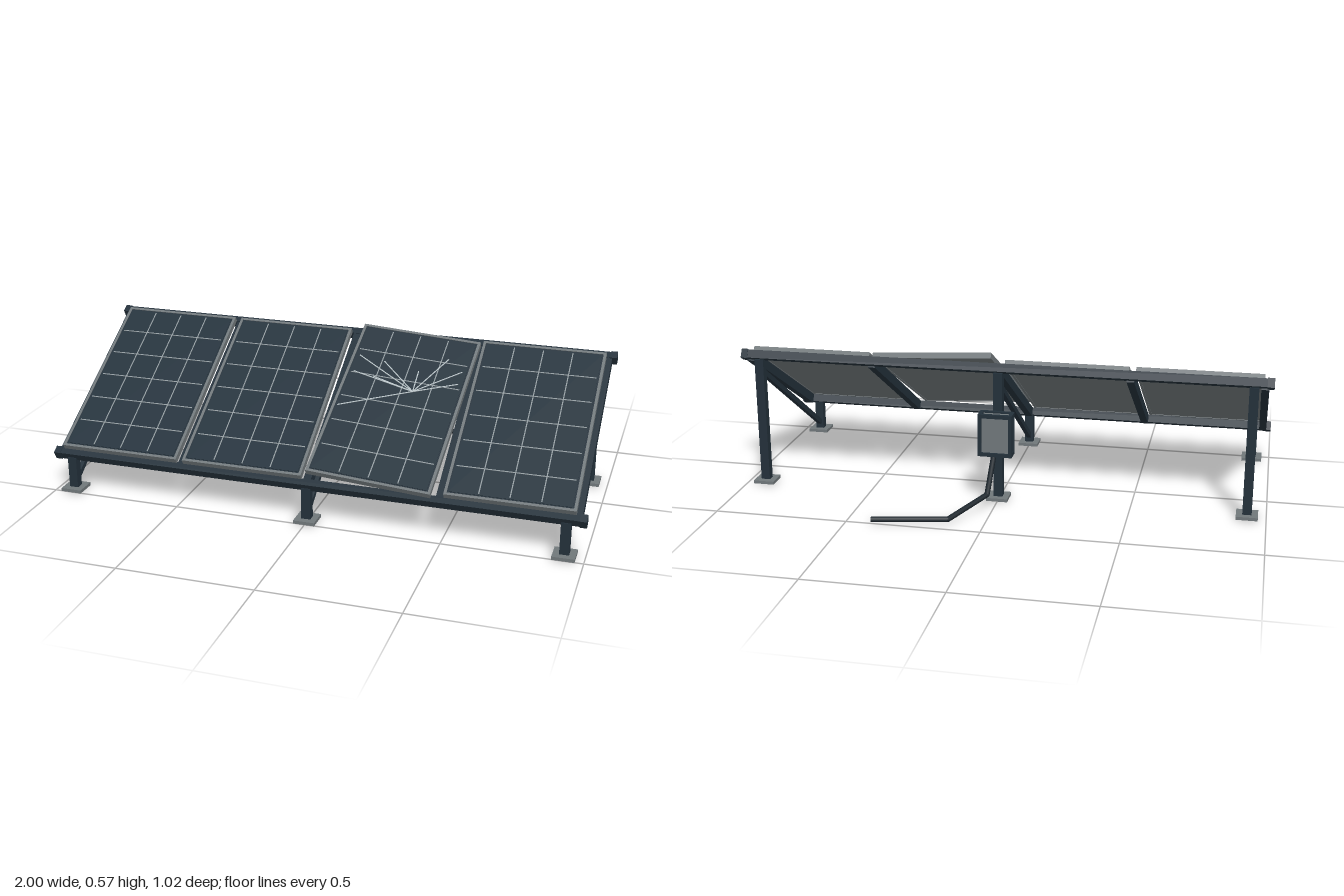
import * as THREE from 'three';

const paint = (name, hex) => {
  const m = new THREE.MeshStandardMaterial({ color: hex });
  m.name = name;
  return m;
};

export function createModel() {
  const steel = paint('dark steel', 0x23303a);
  const glass = paint('solar cells', 0x24323c);
  const alloy = paint('grey alloy', 0x70777a);
  const lines = paint('cell lines', 0x8f989c);
  const crackWhite = paint('crack lines', 0xb4bec2);
  const cable = paint('cable', 0x1d262d);

  const model = new THREE.Group();
  model.name = 'solarArray';

  const box = (parent, name, mat, size, pos) => {
    const m = new THREE.Mesh(new THREE.BoxGeometry(...size), mat);
    m.name = name;
    m.position.set(...pos);
    parent.add(m);
    return m;
  };

  // Square or round bar between two points
  const bar = (parent, name, mat, a, b, r, sides = 8) => {
    const p = new THREE.Vector3(...a), q = new THREE.Vector3(...b);
    const d = q.clone().sub(p);
    const m = new THREE.Mesh(new THREE.CylinderGeometry(r, r, d.length(), sides), mat);
    m.name = name;
    m.position.copy(p).add(q).multiplyScalar(0.5);
    m.quaternion.setFromUnitVectors(new THREE.Vector3(0, 1, 0), d.normalize());
    parent.add(m);
  };

  // Tilted frame: local z runs down the slope, local y is the panel normal
  const tilt = new THREE.Group();
  tilt.name = 'tiltedFrame';
  tilt.position.set(0, 0.33, 0.15);
  tilt.rotation.x = Math.PI / 6;
  model.add(tilt);

  for (const z of [-0.37, 0.37]) {
    box(tilt, 'crossRail', steel, [1.96, 0.032, 0.028], [0, 0, z]);
    for (const s of [-1, 1]) box(tilt, 'railCap', steel, [0.025, 0.036, 0.032], [s * 0.9875, 0, z]);
  }
  for (const x of [-0.968, -0.4875, 0, 0.4875, 0.968])
    box(tilt, 'slopeBeam', steel, [0.028, 0.036, 0.72], [x, -0.004, 0]);

  // Panels: alloy tray, cell sheet, four by six grid
  const W = 0.46, L = 0.72;
  const makePanel = (x) => {
    const p = new THREE.Group();
    p.name = 'solarPanel';
    p.position.set(x, 0.025, 0);
    box(p, 'panelTray', alloy, [W, 0.016, L], [0, 0, 0]);
    for (const s of [-1, 1]) {
      box(p, 'panelSideRim', alloy, [0.01, 0.022, L], [s * (W / 2 - 0.005), 0.001, 0]);
      box(p, 'panelEndRim', alloy, [W, 0.022, 0.01], [0, 0.001, s * (L / 2 - 0.005)]);
    }
    box(p, 'cellSheet', glass, [W - 0.03, 0.006, L - 0.03], [0, 0.009, 0]);
    box(p, 'sheetBorder', steel, [W - 0.02, 0.003, L - 0.02], [0, 0.0085, 0]);
    for (let i = -1; i <= 1; i++)
      box(p, 'columnLine', lines, [0.004, 0.002, L - 0.04], [i * 0.109, 0.0125, 0]);
    for (let j = -2; j <= 2; j++)
      box(p, 'rowLine', lines, [W - 0.04, 0.002, 0.004], [0, 0.0125, j * 0.116]);
    tilt.add(p);
    return p;
  };
  makePanel(-0.735);
  makePanel(-0.25);
  makePanel(0.732);

  // Broken panel: slipped, twisted and cracked from one impact point
  const broken = makePanel(0.245);
  broken.name = 'brokenPanel';
  broken.position.y = 0.037;
  broken.rotation.set(0, -0.05, -0.04);
  const hit = [0.045, -0.07];
  const ends = [[-0.21, 0.05], [-0.2, -0.12], [-0.2, -0.2], [-0.1, -0.19], [0.04, -0.17],
    [0.135, -0.25], [0.2, -0.2], [0.2, -0.14], [-0.12, -0.11]];
  for (const [ex, ez] of ends) {
    const dx = ex - hit[0], dz = ez - hit[1];
    const c = box(broken, 'crack', crackWhite, [Math.hypot(dx, dz), 0.002, 0.004],
      [hit[0] + dx / 2, 0.0145, hit[1] + dz / 2]);
    c.rotation.y = -Math.atan2(dz, dx);
  }

  // Legs, feet and diagonal braces
  for (const x of [-0.93, 0, 0.93]) {
    for (const [z, h] of [[0.47, 0.135], [-0.172, 0.5]]) {
      box(model, 'leg', steel, [0.034, h, 0.03], [x, h / 2, z]);
      box(model, 'footPlate', alloy, [0.08, 0.012, 0.08], [x, 0.01, z]);
    }
    const brace = box(model, 'brace', steel, [0.018, 0.02, 0.735], [x, 0.245, 0.15]);
    brace.rotation.x = Math.atan2(0.4, 0.61);
  }

  // Inverter: grey case inside a dark edge frame
  const inverter = new THREE.Group();
  inverter.name = 'inverter';
  inverter.position.set(-0.003, 0.28, -0.23);
  model.add(inverter);
  box(inverter, 'case', alloy, [0.115, 0.15, 0.044], [0, 0, 0]);
  const hx = 0.057, hy = 0.074, hz = 0.022, t = 0.014;
  for (const a of [-1, 1]) for (const b of [-1, 1]) {
    box(inverter, 'edgeAcross', steel, [0.128, t, t], [0, a * hy, b * hz]);
    box(inverter, 'edgeUpright', steel, [t, 0.162, t], [a * hx, 0, b * hz]);
    box(inverter, 'edgeDepth', steel, [t, t, 0.058], [a * hx, b * hy, 0]);
  }
  box(inverter, 'bracket', steel, [0.05, 0.016, 0.03], [0, 0.045, 0.035]);

  // Loose cable trailing to the ground
  const path = [[0.005, 0.205, -0.228], [0.02, 0.06, -0.287], [0.13, 0.018, -0.448], [0.405, 0.016, -0.5]];
  for (let i = 0; i < 3; i++) {
    bar(model, 'cableRun', cable, path[i], path[i + 1], 0.01);
    if (i) {
      const joint = new THREE.Mesh(new THREE.SphereGeometry(0.01, 8, 6), cable);
      joint.name = 'cableBend';
      joint.position.set(...path[i]);
      model.add(joint);
    }
  }
  return model;
}
